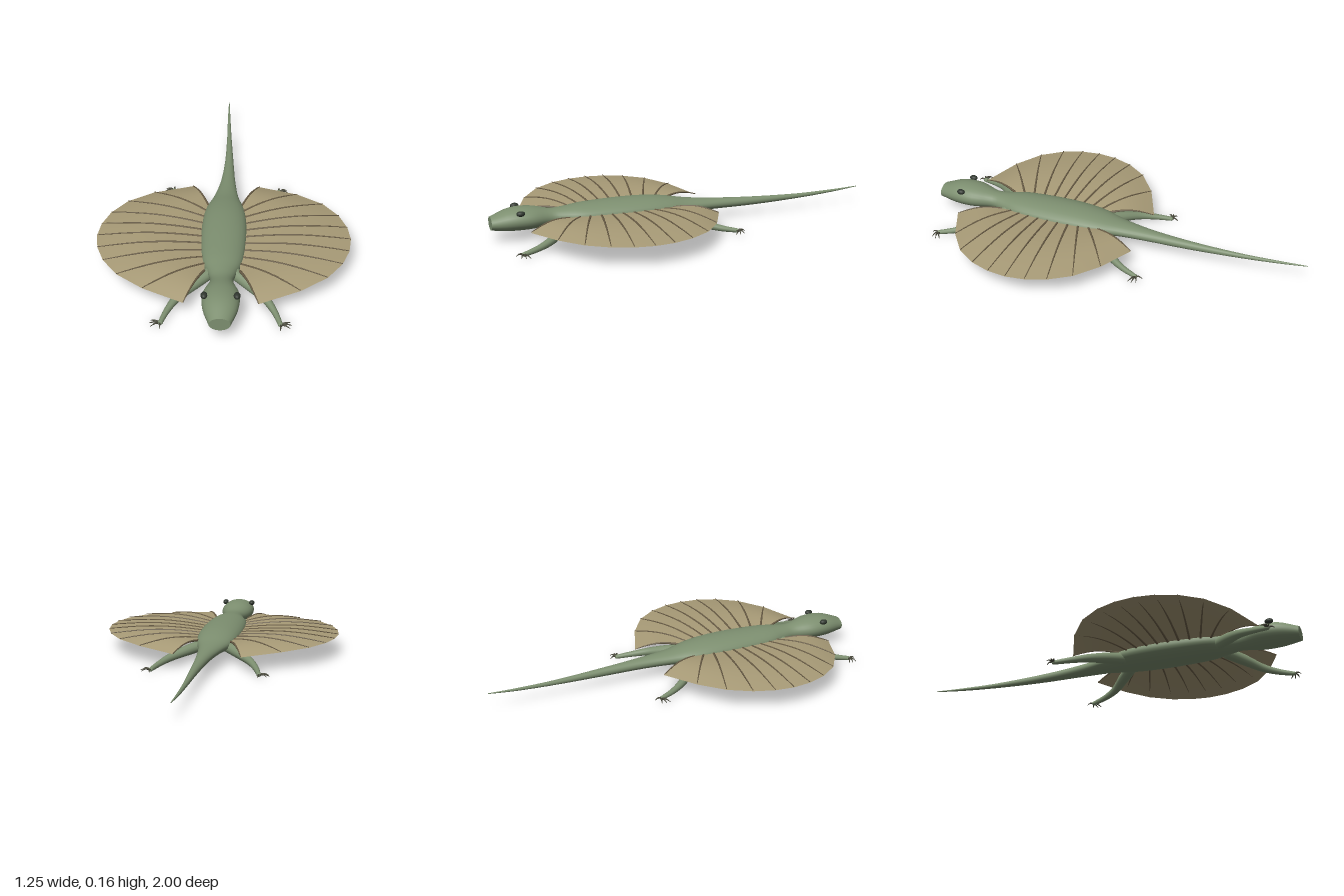
import * as THREE from 'three';

const mat = (color, side = THREE.FrontSide) =>
  new THREE.MeshStandardMaterial({ color, side });
const skin = mat(0x7d8f70);
const membraneSkin = mat(0xa89b77, THREE.DoubleSide);
const ribSkin = mat(0x6a5d46);
const eyeSkin = mat(0x30372f);
const clawSkin = mat(0x4a4a3c);

const V = (x, y, z) => new THREE.Vector3(x, y, z);

function add(parent, name, geometry, material) {
  const mesh = new THREE.Mesh(geometry, material);
  mesh.name = name;
  parent.add(mesh);
  return mesh;
}

// Round tube along a curve whose radius runs through the given list
function taperedTube(points, radii, steps = 16, sides = 10) {
  const curve = new THREE.CatmullRomCurve3(points);
  const geo = new THREE.TubeGeometry(curve, steps, 1, sides);
  const pos = geo.attributes.position;
  const v = V(0, 0, 0);
  for (let i = 0; i <= steps; i++) {
    const center = curve.getPointAt(i / steps);
    const f = (i / steps) * (radii.length - 1);
    const k = Math.min(Math.floor(f), radii.length - 2);
    const r = THREE.MathUtils.lerp(radii[k], radii[k + 1], f - k);
    for (let j = 0; j <= sides; j++) {
      const n = i * (sides + 1) + j;
      v.fromBufferAttribute(pos, n).sub(center).multiplyScalar(r).add(center);
      pos.setXYZ(n, v.x, v.y, v.z);
    }
  }
  return geo;
}

// Indexed surface from a grid of points
function gridSurface(rows, closed) {
  const n = rows[0].length;
  const index = [];
  for (let i = 0; i < rows.length - 1; i++) {
    for (let j = 0; j < (closed ? n : n - 1); j++) {
      const a = i * n + j, b = i * n + (j + 1) % n;
      index.push(a, a + n, b, b, a + n, b + n);
    }
  }
  const geo = new THREE.BufferGeometry().setFromPoints(rows.flat());
  geo.setIndex(index);
  geo.computeVertexNormals();
  return geo;
}

// Body sections from snout to tail tip: z, centre x, bottom y, top y, half width
const SECTIONS = [
  [1.0, 0, 0.06, 0.127, 0.05],
  [0.9, 0, 0.05, 0.161, 0.083],
  [0.8, 0, 0.05, 0.162, 0.086],
  [0.7, 0, 0.057, 0.142, 0.055],
  [0.63, 0, 0.05, 0.143, 0.068],
  [0.53, 0, 0.042, 0.152, 0.1],
  [0.35, 0, 0.039, 0.157, 0.113],
  [0.2, 0, 0.041, 0.154, 0.11],
  [0.09, 0, 0.046, 0.142, 0.096],
  [-0.02, 0.002, 0.053, 0.123, 0.064],
  [-0.18, 0.008, 0.053, 0.109, 0.038],
  [-0.4, 0.009, 0.053, 0.095, 0.022],
  [-0.65, 0.003, 0.06, 0.085, 0.012],
  [-0.85, -0.003, 0.072, 0.086, 0.007],
  [-1.0, -0.006, 0.087, 0.091, 0.002],
];

function buildBody(parent) {
  const spine = new THREE.CatmullRomCurve3(
    SECTIONS.map(([z, x, b, t]) => V(x, (b + t) / 2, z)), false, 'catmullrom');
  const size = new THREE.CatmullRomCurve3(
    SECTIONS.map(([, , b, t, w]) => V(w, (t - b) / 2, 0)), false, 'catmullrom');
  const steps = (SECTIONS.length - 1) * 4;
  const sides = 28;
  const rows = [];
  for (let i = 0; i <= steps; i++) {
    const c = spine.getPoint(i / steps), s = size.getPoint(i / steps);
    rows.push(Array.from({ length: sides }, (_, j) => {
      const a = (j / sides) * Math.PI * 2;
      return V(c.x + s.x * Math.cos(a), c.y + s.y * Math.sin(a), c.z);
    }));
  }
  add(parent, 'body', gridSurface(rows, true), skin);

  // Blunt snout and closed tail tip
  const [z, x, b, t, w] = SECTIONS[0];
  const snout = add(parent, 'snout', new THREE.CircleGeometry(1, sides), skin);
  snout.scale.set(w, (t - b) / 2, 1);
  snout.position.set(x, (t + b) / 2, z);
  const tip = add(parent, 'tailTip', new THREE.SphereGeometry(0.002, 8, 6), skin);
  tip.position.set(-0.006, 0.089, -0.998);
}

// Outer ends of the wing ribs from the end rib to the middle: x, distance from middle
const RIB_ENDS = [[0.175, 0.485], [0.37, 0.4], [0.5, 0.305], [0.575, 0.2], [0.613, 0.098], [0.625, 0]];
const WING_Z = 0.35;
const RIBS = 11;

function buildWing(parent, side) {
  const wing = new THREE.Group();
  wing.name = side > 0 ? 'leftWing' : 'rightWing';
  parent.add(wing);
  // Point on the domed membrane: rib number and fraction along the rib
  const point = (rib, t) => {
    const m = (RIBS - 1) / 2;
    const u = (rib - m) / m;
    const [ex, ez] = RIB_ENDS[Math.min(rib, RIBS - 1 - rib)];
    const x = THREE.MathUtils.lerp(0.085, ex, t);
    const z = WING_Z + Math.sign(u) * THREE.MathUtils.lerp(Math.abs(u) * 0.27, ez, t);
    const y = 0.108 + 0.02 * Math.sin(Math.PI * t) - (0.003 + 0.024 * u ** 4) * t;
    return V(side * x, y, z);
  };
  const rows = [];
  for (let r = 0; r < RIBS; r++) {
    rows.push(Array.from({ length: 13 }, (_, j) => point(r, j / 12)));
  }
  if (side < 0) rows.reverse();
  add(wing, 'membrane', gridSurface(rows, false), membraneSkin);

  for (let r = 0; r < RIBS; r++) {
    const path = [0, 0.2, 0.4, 0.6, 0.8, 1].map((t) => {
      const p = point(r, t);
      p.y += 0.005 * t - 0.002;
      return p;
    });
    add(wing, 'rib', taperedTube(path, [0.0065, 0.0045, 0.002], 12, 6), ribSkin);
  }
}

// Legs mirror front to back about the middle of the trunk
function buildLeg(parent, side, end) {
  const leg = new THREE.Group();
  leg.name = (end > 0 ? 'front' : 'hind') + (side > 0 ? 'LeftLeg' : 'RightLeg');
  parent.add(leg);
  const P = (x, y, dz) => V(side * x, y, WING_Z + end * dz);
  const path = [P(0.065, 0.08, 0.26), P(0.14, 0.062, 0.33), P(0.21, 0.04, 0.4),
    P(0.25, 0.024, 0.47), P(0.277, 0.012, 0.545)];
  add(leg, 'limb', taperedTube(path, [0.03, 0.028, 0.022, 0.016, 0.011], 20, 12), skin);
  const hip = add(leg, 'joint', new THREE.SphereGeometry(0.03, 16, 12), skin);
  hip.position.copy(path[0]);
  const foot = add(leg, 'foot', new THREE.SphereGeometry(0.013, 12, 8), skin);
  foot.scale.y = 0.8;
  foot.position.copy(path[4]);

  // Splayed, slightly arched toes
  for (const [x, dz] of [[0.325, 0.522], [0.33, 0.543], [0.322, 0.567], [0.276, 0.585]]) {
    const mid = P((x + 0.277) / 2 + 0.002, 0.017, (dz + 0.545) / 2 + 0.004);
    add(leg, 'toe', taperedTube([path[4], mid, P(x, 0.006, dz)], [0.0055, 0.004, 0.001], 8, 6), clawSkin);
  }
}

export function createModel() {
  const model = new THREE.Group();
  model.name = 'glidingLizard';
  buildBody(model);
  for (const side of [1, -1]) {
    const eye = add(model, side > 0 ? 'leftEye' : 'rightEye', new THREE.SphereGeometry(0.016, 16, 12), eyeSkin);
    eye.scale.set(1, 0.85, 1.35);
    eye.position.set(side * 0.076, 0.15, 0.862);
    buildWing(model, side);
    for (const end of [1, -1]) buildLeg(model, side, end);
  }
  return model;
}
